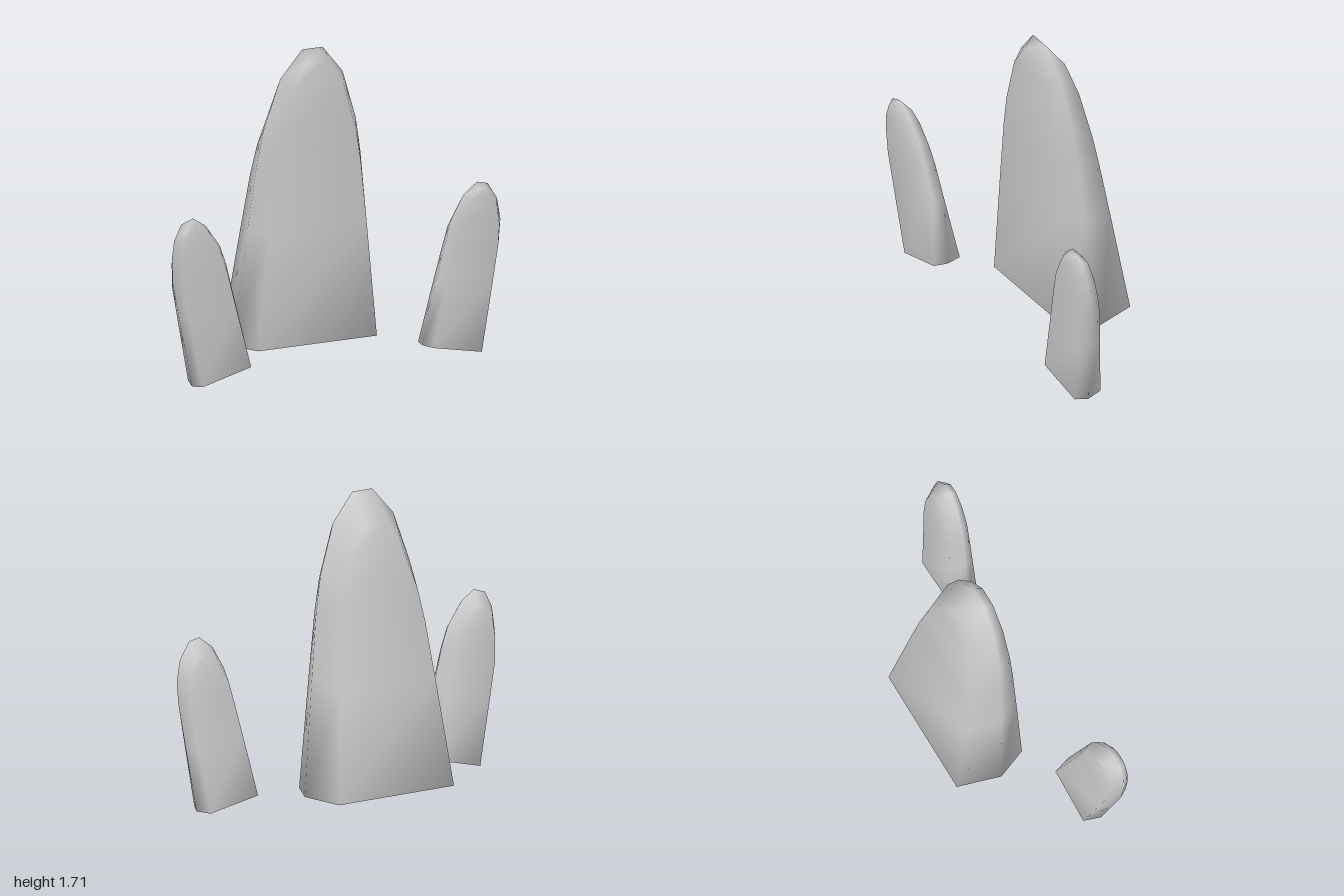
import * as THREE from 'three';

const grey = new THREE.MeshStandardMaterial({ color: 0xcccccc });
const mix = THREE.MathUtils.lerp;

// Lofts a rounded slab from its rim outline.
// rows: [leftX, leftY, rightX, rightY] of the widest rim, from base to tip.
// front, rim, back: [z at base, z at tip]; frontScale, backScale: panel height against the rim.
function slab(name, rows, { front, rim, back, frontScale, backScale }) {
  const inset = 0.84;
  const centre = (r) => [(r[0] + r[2]) / 2, (r[1] + r[3]) / 2];
  const base = centre(rows[0]);
  const tip = centre(rows[rows.length - 1]);
  const positions = [];
  const index = [];

  for (const row of rows) {
    const c = centre(row);
    const t = (c[1] - base[1]) / (tip[1] - base[1]);
    const half = [(row[2] - row[0]) / 2, (row[3] - row[1]) / 2];
    const add = (side, width, height, z) => positions.push(
      mix(base[0], c[0], height) + side * width * half[0],
      mix(base[1], c[1], height) + side * width * half[1],
      mix(z[0], z[1], t));
    // six-sided section, counter-clockwise from above
    add(-1, inset, frontScale, front);
    add(1, inset, frontScale, front);
    add(1, 1, 1, rim);
    add(1, inset, backScale, back);
    add(-1, inset, backScale, back);
    add(-1, 1, 1, rim);
  }

  const quad = (a, b, c, d) => index.push(a, b, c, a, c, d);
  for (let i = 0; i < rows.length - 1; i++) {
    for (let j = 0; j < 6; j++) {
      const a = i * 6 + j;
      const b = i * 6 + (j + 1) % 6;
      quad(a, b, b + 6, a + 6);
    }
  }
  // ridged tip and flat base
  const n = (rows.length - 1) * 6;
  quad(n, n + 1, n + 2, n + 5);
  quad(n + 5, n + 2, n + 3, n + 4);
  quad(5, 2, 1, 0);
  quad(4, 3, 2, 5);

  const geometry = new THREE.BufferGeometry();
  geometry.setAttribute('position', new THREE.Float32BufferAttribute(positions, 3));
  geometry.setIndex(index);
  geometry.computeVertexNormals();
  const mesh = new THREE.Mesh(geometry, grey);
  mesh.name = name;
  return mesh;
}

export function createModel() {
  const group = new THREE.Group();
  group.name = 'standingSlabs';

  // Tall upright slab: [height, half width]
  const tall = [[0.1, 0.43], [0.75, 0.357], [1.1, 0.315], [1.29, 0.28], [1.56, 0.19], [1.71, 0.0625]]
    .map(([y, w]) => [0.02 - w, y, 0.02 + w, y]);
  group.add(slab('tallSlab', tall, {
    front: [0.057, 0.057], rim: [-0.11, 0], back: [-0.345, -0.13], frontScale: 0.963, backScale: 0.894,
  }));

  // Two small slabs leaning outwards
  const small = {
    front: [0.318, 0.346], rim: [0.25, 0.312], back: [0.155, 0.245], frontScale: 0.965, backScale: 0.915,
  };
  group.add(slab('rightSmallSlab', [
    [-0.85, 0.01, -0.5, 0.1],
    [-0.943, 0.4, -0.605, 0.46],
    [-0.99, 0.6, -0.665, 0.67],
    [-1.0, 0.74, -0.71, 0.78],
    [-0.99, 0.84, -0.8, 0.9],
    [-0.95, 0.925, -0.88, 0.95],
  ], small));
  group.add(slab('leftSmallSlab', [
    [0.55, 0.07, 0.905, 0.003],
    [0.626, 0.42, 0.961, 0.37],
    [0.67, 0.62, 0.995, 0.6],
    [0.705, 0.76, 1.0, 0.72],
    [0.77, 0.88, 0.975, 0.84],
    [0.85, 0.945, 0.915, 0.93],
  ], small));

  return group;
}
